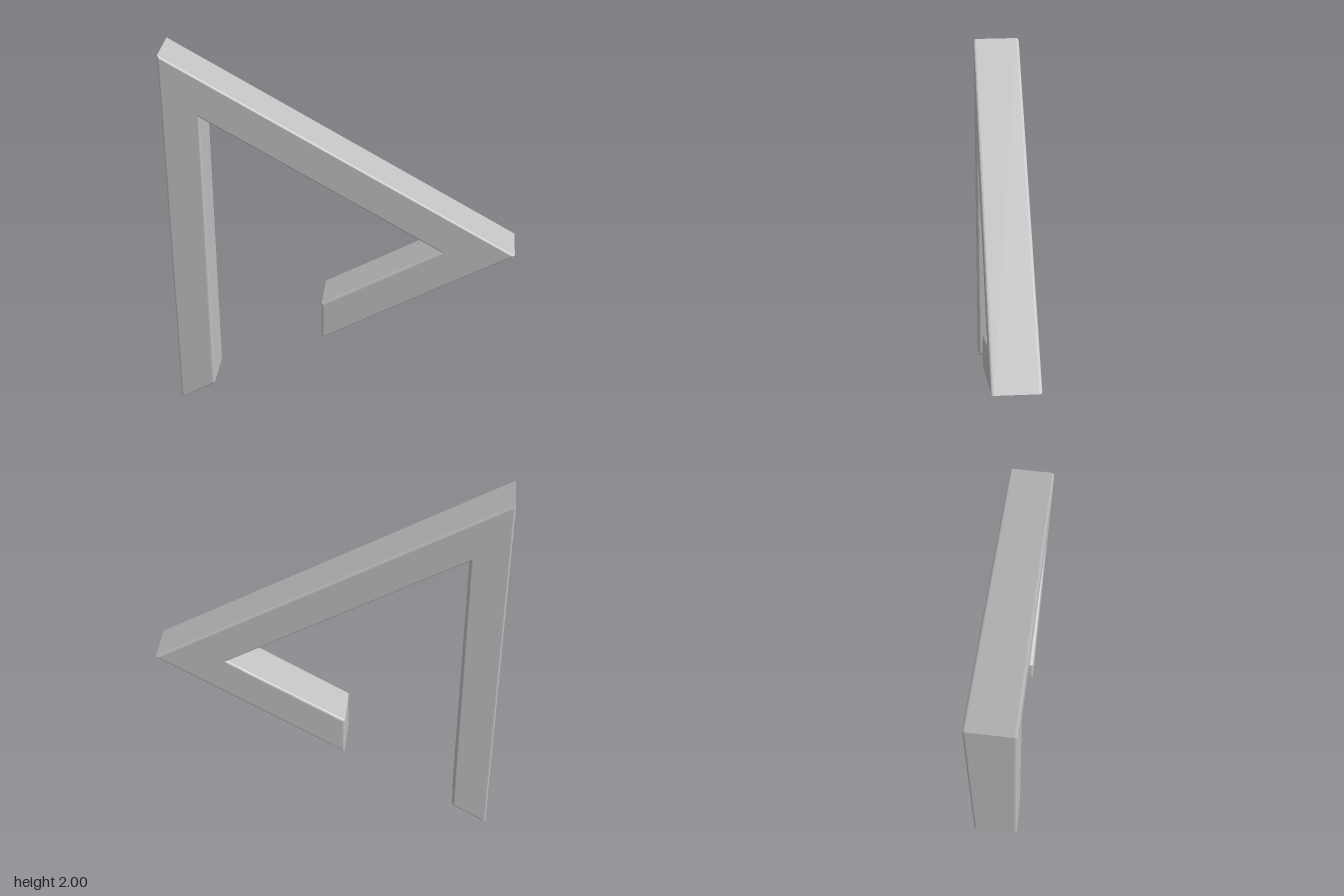
import * as THREE from 'three';

export function createModel() {
  const group = new THREE.Group();
  group.name = 'angularEmblem';
  const grey = new THREE.MeshStandardMaterial({ color: 0xc0c0c0 });
  grey.name = 'lightGrey';

  // Outline of the folded bar: long leg, slanted top arm, short return arm
  const outline = [
    [-0.866, 0], [-0.688, 0.103], [-0.68, 0.116], [-0.68, 1.685], [0.5, 1.0],
    [-0.1, 0.658], [-0.1, 0.444], [0.866, 1.0], [-0.866, 2],
  ].map(([x, y]) => new THREE.Vector2(x, y));

  // Extrusion with small rounded edges front and back, kept inside the outline
  const halfDepth = 0.118;
  const bevel = 0.014;
  const geometry = new THREE.ExtrudeGeometry(new THREE.Shape(outline), {
    depth: 2 * (halfDepth - bevel),
    bevelEnabled: true,
    bevelThickness: bevel,
    bevelSize: bevel,
    bevelOffset: -bevel,
    bevelSegments: 4,
  });
  geometry.translate(0, 0, bevel - halfDepth);

  const bar = new THREE.Mesh(geometry, grey);
  bar.name = 'foldedBar';
  group.add(bar);
  return group;
}
